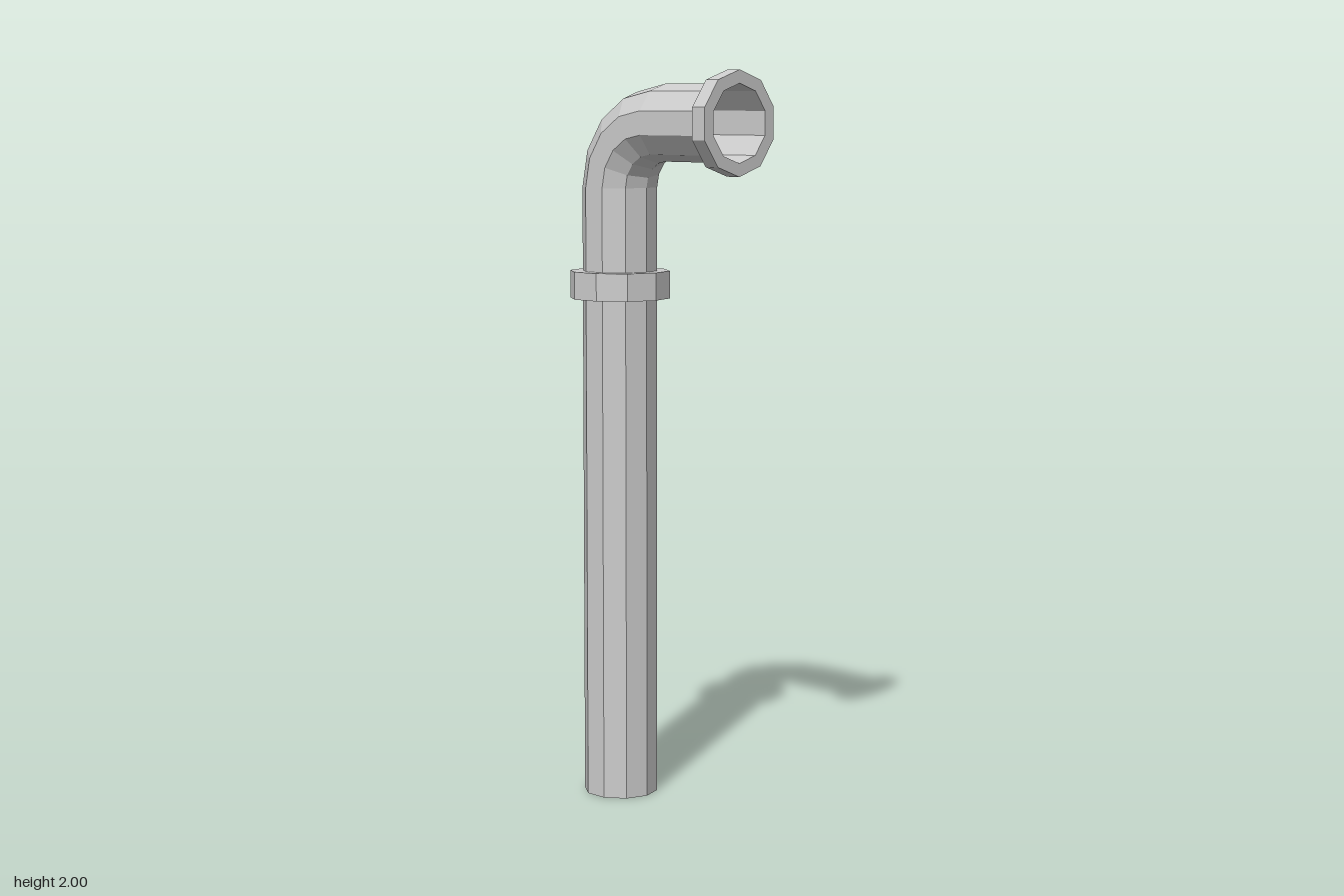
import * as THREE from 'three';

const SIDES = 10;
const PIPE_R = 0.103, FLANGE_R = 0.138, BEND_R = 0.175;
const PIPE_Z = -0.153, ARM_Y = 1.862, MOUTH_Z = 0.29;

const material = new THREE.MeshStandardMaterial({
  color: 0xcccccc, flatShading: true, side: THREE.DoubleSide,
});

// Open ten-sided tube running up, around a quarter bend and forward
function pipeGeometry() {
  const stations = [{ y: 0, z: PIPE_Z, a: 0 }];
  for (let i = 0; i <= 4; i++) {
    const a = (i / 4) * Math.PI / 2;
    stations.push({
      y: ARM_Y - BEND_R + BEND_R * Math.sin(a),
      z: PIPE_Z + BEND_R - BEND_R * Math.cos(a),
      a,
    });
  }
  stations.push({ y: ARM_Y, z: MOUTH_Z, a: Math.PI / 2 });

  const positions = [], index = [];
  stations.forEach(({ y, z, a }, i) => {
    for (let j = 0; j < SIDES; j++) {
      const t = (j / SIDES) * Math.PI * 2;
      const out = PIPE_R * Math.cos(t);
      positions.push(PIPE_R * Math.sin(t), y + out * Math.sin(a), z - out * Math.cos(a));
      if (i === 0) continue;
      const k = (j + 1) % SIDES, lo = (i - 1) * SIDES, hi = i * SIDES;
      index.push(lo + j, hi + j, lo + k, lo + k, hi + j, hi + k);
    }
  });
  const indexed = new THREE.BufferGeometry();
  indexed.setAttribute('position', new THREE.Float32BufferAttribute(positions, 3));
  indexed.setIndex(index);
  const geometry = indexed.toNonIndexed();
  geometry.computeVertexNormals();
  return geometry;
}

// Flat-faced ring that wraps the pipe, from y = 0 up to its height
function flange(name, height) {
  const profile = [[PIPE_R, 0], [FLANGE_R, 0], [FLANGE_R, height], [PIPE_R, height]]
    .map(([x, y]) => new THREE.Vector2(x, y));
  const geometry = new THREE.LatheGeometry(profile, SIDES).toNonIndexed();
  geometry.computeVertexNormals();
  const mesh = new THREE.Mesh(geometry, material);
  mesh.name = name;
  return mesh;
}

export function createModel() {
  const model = new THREE.Group();
  model.name = 'bentPipe';

  const pipe = new THREE.Mesh(pipeGeometry(), material);
  pipe.name = 'pipe';

  // Collar around the upright pipe
  const collar = flange('collar', 0.075);
  collar.position.set(0, 1.385, PIPE_Z);

  // Rim around the forward-facing mouth
  const rim = flange('mouthRim', 0.044);
  rim.rotation.x = Math.PI / 2;
  rim.position.set(0, ARM_Y, MOUTH_Z - 0.044);

  model.add(pipe, collar, rim);
  return model;
}
